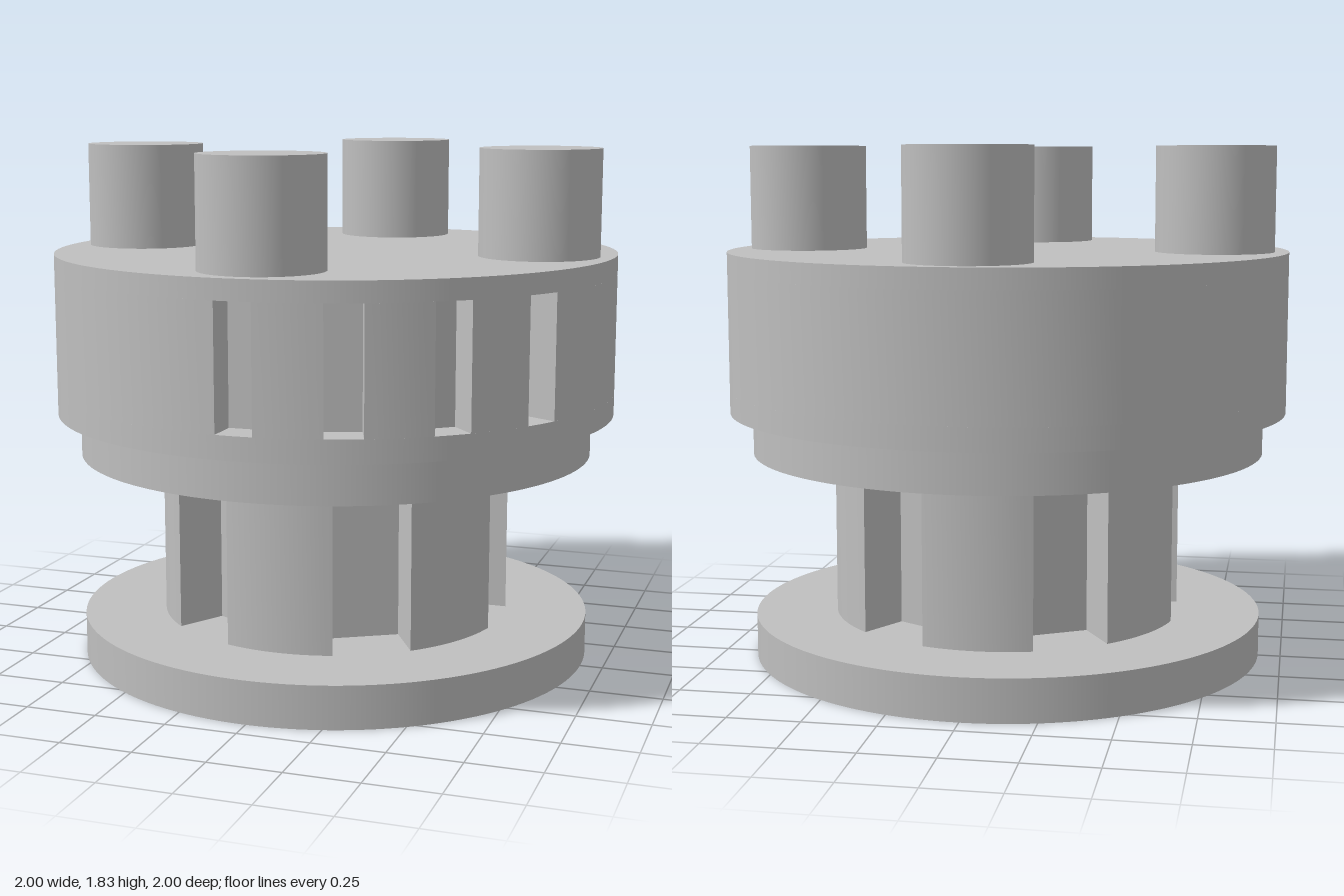
import * as THREE from 'three';
import { toCreasedNormals } from 'three/addons/utils/BufferGeometryUtils.js';

const grey = new THREE.MeshStandardMaterial({ color: 0xbfbfbf });
grey.name = 'plain grey';

const rad = THREE.MathUtils.degToRad;

// Upright cylinder from y0 to y1
function disc(name, radius, y0, y1, x = 0, z = 0) {
  const mesh = new THREE.Mesh(new THREE.CylinderGeometry(radius, radius, y1 - y0, 128), grey);
  mesh.position.set(x, (y0 + y1) / 2, z);
  mesh.name = name;
  return mesh;
}

// Upright cylinder with straight-sided notches cut into its rim.
// Angles run from +z towards +x, in degrees, in rising order.
function notchedDisc(name, radius, floor, halfWidth, angles, y0, y1) {
  const points = [];
  const add = (r, a, side = 0) => points.push(new THREE.Vector2(
    r * Math.sin(a) + side * Math.cos(a),
    -(r * Math.cos(a) - side * Math.sin(a))));
  const edge = Math.asin(halfWidth / radius);
  angles.forEach((deg, i) => {
    const a = rad(deg);
    const next = rad(i + 1 < angles.length ? angles[i + 1] : angles[0] + 360);
    add(radius, a - edge);
    add(floor, a, -halfWidth);
    add(floor, a, halfWidth);
    // Rim arc up to the next notch
    const start = a + edge, end = next - edge;
    const steps = Math.ceil((end - start) / rad(2.8));
    for (let s = 0; s < steps; s++) add(radius, start + (end - start) * s / steps);
  });
  const geometry = new THREE.ExtrudeGeometry(new THREE.Shape(points),
    { depth: y1 - y0, bevelEnabled: false });
  geometry.rotateX(-Math.PI / 2);
  const mesh = new THREE.Mesh(toCreasedNormals(geometry, 0.4), grey);
  mesh.position.y = y0;
  mesh.name = name;
  return mesh;
}

export function createModel() {
  const model = new THREE.Group();
  model.name = 'slottedDrum';

  // Foot and six-lobed core
  model.add(disc('basePlate', 0.92, 0, 0.15));
  model.add(notchedDisc('lobedCore', 0.628, 0.43, 0.135, [30, 90, 150, 210, 270, 330], 0.15, 0.74));
  model.add(disc('upperPlate', 0.92, 0.74, 0.89));

  // Drum in three bands, the middle one carrying the four slots
  const drum = new THREE.Group();
  drum.name = 'drum';
  drum.add(disc('drumLowerBand', 1, 0.89, 0.97));
  drum.add(notchedDisc('drumSlottedBand', 1, 0.88, 0.0625, [0, 20, 40, 60], 0.97, 1.39));
  drum.add(disc('drumUpperBand', 1, 1.39, 1.46));
  model.add(drum);

  // Four posts on top
  for (let i = 0; i < 4; i++) {
    const a = i * Math.PI / 2;
    model.add(disc('topPost', 0.21, 1.46, 1.83, 0.74 * Math.sin(a), 0.74 * Math.cos(a)));
  }
  return model;
}
